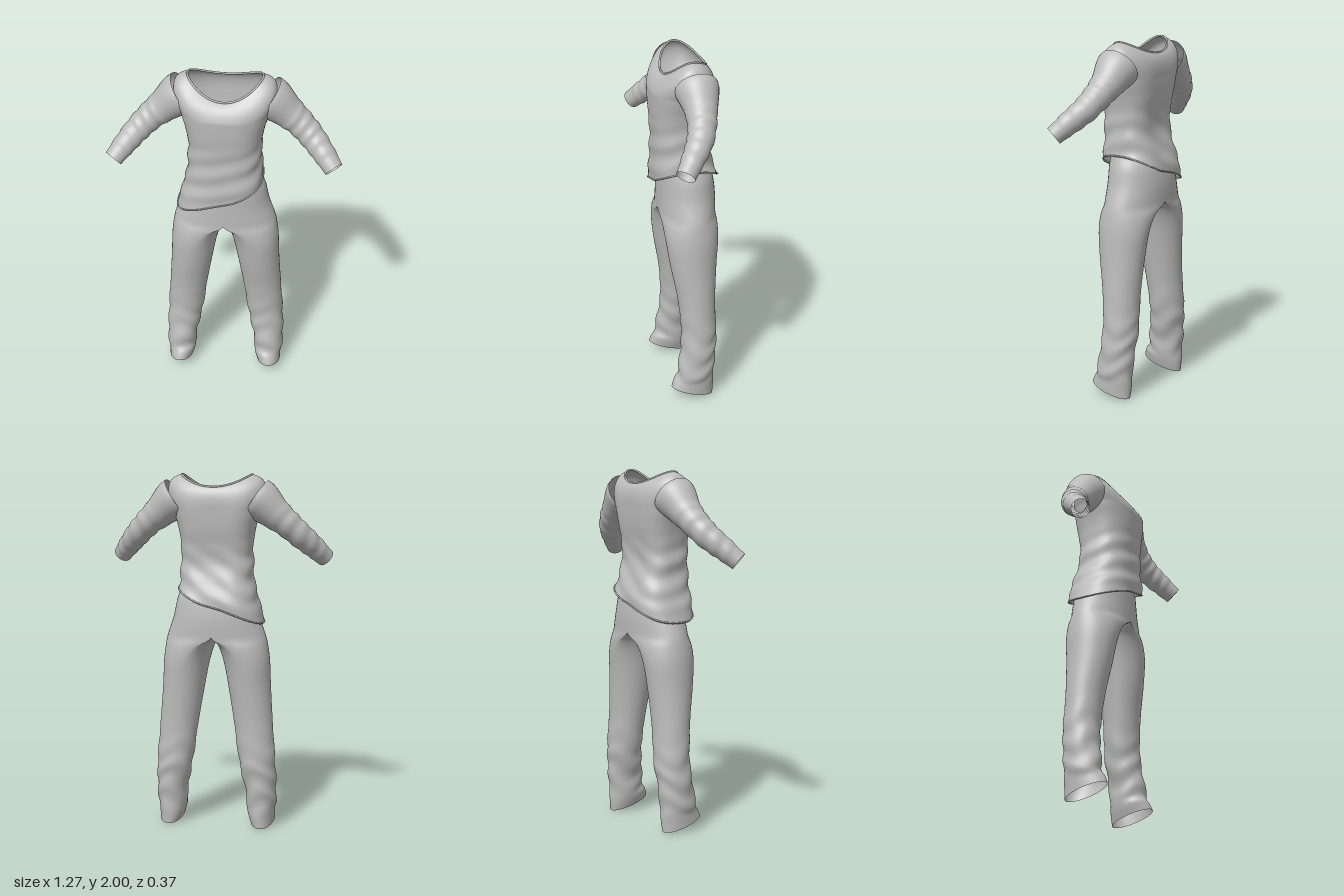
import * as THREE from 'three';
import { mergeGeometries, mergeVertices } from 'three/addons/utils/BufferGeometryUtils.js';

const TAU = Math.PI * 2;
const lerp = THREE.MathUtils.lerp;
const smooth = THREE.MathUtils.smoothstep;

// Smooth interpolation through table rows; t is in row units
function spline(rows, t) {
  const n = rows.length - 1;
  const i = Math.min(Math.max(Math.floor(t), 0), n - 1), f = t - i;
  const at = k => rows[Math.min(Math.max(k, 0), n)];
  return rows[0].map((_, c) => {
    const a = at(i - 1)[c], b = at(i)[c], d = at(i + 1)[c], e = at(i + 2)[c];
    const m0 = (d - a) / 2, m1 = (e - b) / 2, f2 = f * f, f3 = f2 * f;
    return (2 * f3 - 3 * f2 + 1) * b + (f3 - 2 * f2 + f) * m0 + (3 * f2 - 2 * f3) * d + (f3 - f2) * m1;
  });
}

// Closed rings stacked upward; point(angle, v) gives [x, y, z]
function loft(rings, sides, point, skip = () => false) {
  const pos = [], index = [];
  for (let i = 0; i <= rings; i++)
    for (let j = 0; j < sides; j++) pos.push(...point(j / sides * TAU, i / rings));
  for (let i = 0; i < rings; i++)
    for (let j = 0; j < sides; j++) {
      const k = (j + 1) % sides;
      const a = i * sides + j, b = a + sides, c = i * sides + k, d = c + sides;
      if (skip([a, b, c, d].map(q => pos[q * 3]))) continue;
      index.push(a, b, c, b, d, c);
    }
  const g = new THREE.BufferGeometry();
  g.setAttribute('position', new THREE.Float32BufferAttribute(pos, 3));
  g.setIndex(index);
  g.computeVertexNormals();
  return g;
}

// Rounded-box section of a torso
const sup = (c, p) => Math.sign(c) * Math.pow(Math.abs(c), 2 / p);

// Shirt: half width, front z, back z at y = 1.1, 1.2 ... 1.8
const SHIRT = [
  [.28, .18, -.185], [.26, .182, -.188], [.236, .18, -.185], [.208, .178, -.155],
  [.203, .175, -.128], [.2, .178, -.132], [.215, .185, -.148], [.24, .187, -.156]];

function shirtBody(a, y) {
  const [w, zf, zb] = spline(SHIRT, (y - 1.1) / .1);
  const c = sup(Math.cos(a), 2.6), s = sup(Math.sin(a), 2.6);
  // Drapes across the waist and a shallow hollow along the spine
  const fold = 1 + .022 * Math.sin(48 * y - 5 * c + 1.5 * Math.sin(2 * a))
    * smooth(y, 1.2, 1.32) * (1 - smooth(y, 1.5, 1.68));
  const spine = s < 0 ? .012 * Math.pow(-Math.sin(a), 12) : 0;
  return [w * c * fold, y, (s > 0 ? zf * s : -zb * s) * fold + spine];
}

function neckPoint(a) {
  const c = Math.cos(a), s = Math.sin(a);
  return [.2 * c, lerp(s > 0 ? 1.89 : 1.93, 1.995, c * c), .117 * s];
}

const hemPoint = a => shirtBody(a, 1.272 + .1 * Math.cos(a));

function shirtPoint(a, v) {
  if (v < .7) return shirtBody(a, lerp(1.272 + .1 * Math.cos(a), 1.8, v / .7));
  // Shoulders curve in to the neckline
  const t = (v - .7) / .3, c = Math.cos(a), s = Math.sin(a);
  const p = shirtBody(a, 1.8), q = neckPoint(a);
  const m = [.325 * sup(c, 2.4), lerp(s > 0 ? 1.865 : 1.9, 1.97, c * c), (s > 0 ? .167 : .155) * sup(s, 2.4)];
  return p.map((_, k) => (1 - t) ** 2 * p[k] + 2 * t * (1 - t) * m[k] + t * t * q[k]);
}

function edging(point, radius) {
  const pts = Array.from({ length: 48 }, (_, i) => new THREE.Vector3(...point(i / 48 * TAU)));
  return new THREE.TubeGeometry(new THREE.CatmullRomCurve3(pts, true), 96, radius, 6, true);
}

// Sleeve: centre x, y, z and radius from shoulder to cuff
const SLEEVE = [
  [.225, 1.865, -.012, .118], [.255, 1.845, -.012, .115], [.325, 1.785, -.008, .091],
  [.395, 1.727, .005, .077], [.465, 1.66, .036, .07], [.53, 1.595, .09, .062], [.592, 1.528, .148, .052]];

function sleeveGeometry() {
  const rings = 60;
  const curve = new THREE.CatmullRomCurve3(SLEEVE.map(r => new THREE.Vector3(r[0], r[1], r[2])));
  const frames = curve.computeFrenetFrames(rings);
  return loft(rings, 32, (a, v) => {
    const t = curve.getUtoTmapping(v);
    const fold = 1 + .035 * Math.sin(46 * v + 1.5 * Math.sin(a + 5 * v)) * smooth(v, .2, .4) * (1 - smooth(v, .85, .95));
    const r = spline(SLEEVE, t * (SLEEVE.length - 1))[3] * fold;
    const i = Math.round(v * rings);
    return curve.getPoint(t)
      .addScaledVector(frames.normals[i], r * Math.cos(a))
      .addScaledVector(frames.binormals[i], -r * Math.sin(a)).toArray();
  });
}

// Trouser leg: y, inner x, outer x, front z, back z, blend into the hips
const LEG = [
  [.03, .198, .335, .138, -.105, 0], [.09, .18, .338, .118, -.11, 0], [.14, .178, .346, .1, -.112, 0],
  [.2, .172, .346, .094, -.116, 0], [.3, .152, .345, .078, -.124, 0], [.4, .133, .34, .07, -.13, 0],
  [.6, .105, .325, .085, -.128, 0], [.8, .072, .311, .12, -.14, 0], [.95, .045, .304, .14, -.155, .05],
  [1.04, .024, .293, .146, -.163, .35], [1.1, .005, .28, .147, -.168, 1], [1.2, 0, .246, .145, -.17, 1],
  [1.3, 0, .225, .142, -.158, 1], [1.36, 0, .203, .138, -.135, 1], [1.42, 0, .186, .13, -.112, 1]];

function trousersGeometry() {
  const half = side => loft(84, 48, (u, v) => {
    const a = side * u, c = Math.cos(a), s = Math.sin(a);
    let [y, xi, xo, zf, zb, d] = spline(LEG, v * (LEG.length - 1));
    d = Math.min(Math.max(d, 0), 1);
    if (y > 1.099) d = 1;
    const fold = 1 + .04 * Math.sin(44 * y + 2 * Math.sin(a * 2 + 6 * y)) * smooth(y, .06, .14) * (1 - smooth(y, .3, .65));
    const round = (xi + xo) / 2 + (xo - xi) / 2 * c * fold;
    const hip = c > 0 ? xo * sup(c, 2.2) : 0;
    const z = (zf + zb) / 2 + (zf - zb) / 2 * s * fold;
    // Hem rises toward the front
    const lift = .034 * s * (1 - smooth(y, .03, .16));
    return [side * (d === 1 ? hip : lerp(round, hip, d)), y + lift, z];
  }, xs => xs.every(x => Math.abs(x) < 1e-4));
  const g = mergeGeometries([half(1), half(-1)]);
  g.deleteAttribute('normal');
  const joined = mergeVertices(g, 1e-5);
  joined.computeVertexNormals();
  return joined;
}

export function createModel() {
  const cloth = new THREE.MeshStandardMaterial({ color: 0xbcbcbc, side: THREE.DoubleSide });
  cloth.name = 'grey cloth';
  const model = new THREE.Group();
  model.name = 'outfit';
  const add = (name, geometry) => {
    const mesh = new THREE.Mesh(geometry, cloth);
    mesh.name = name;
    model.add(mesh);
    return mesh;
  };

  add('shirt', loft(80, 72, shirtPoint));
  add('neckband', edging(neckPoint, .006));
  add('shirtHem', edging(hemPoint, .005));
  const sleeve = sleeveGeometry();
  add('leftSleeve', sleeve);
  add('rightSleeve', sleeve).scale.x = -1;
  add('trousers', trousersGeometry());
  return model;
}
